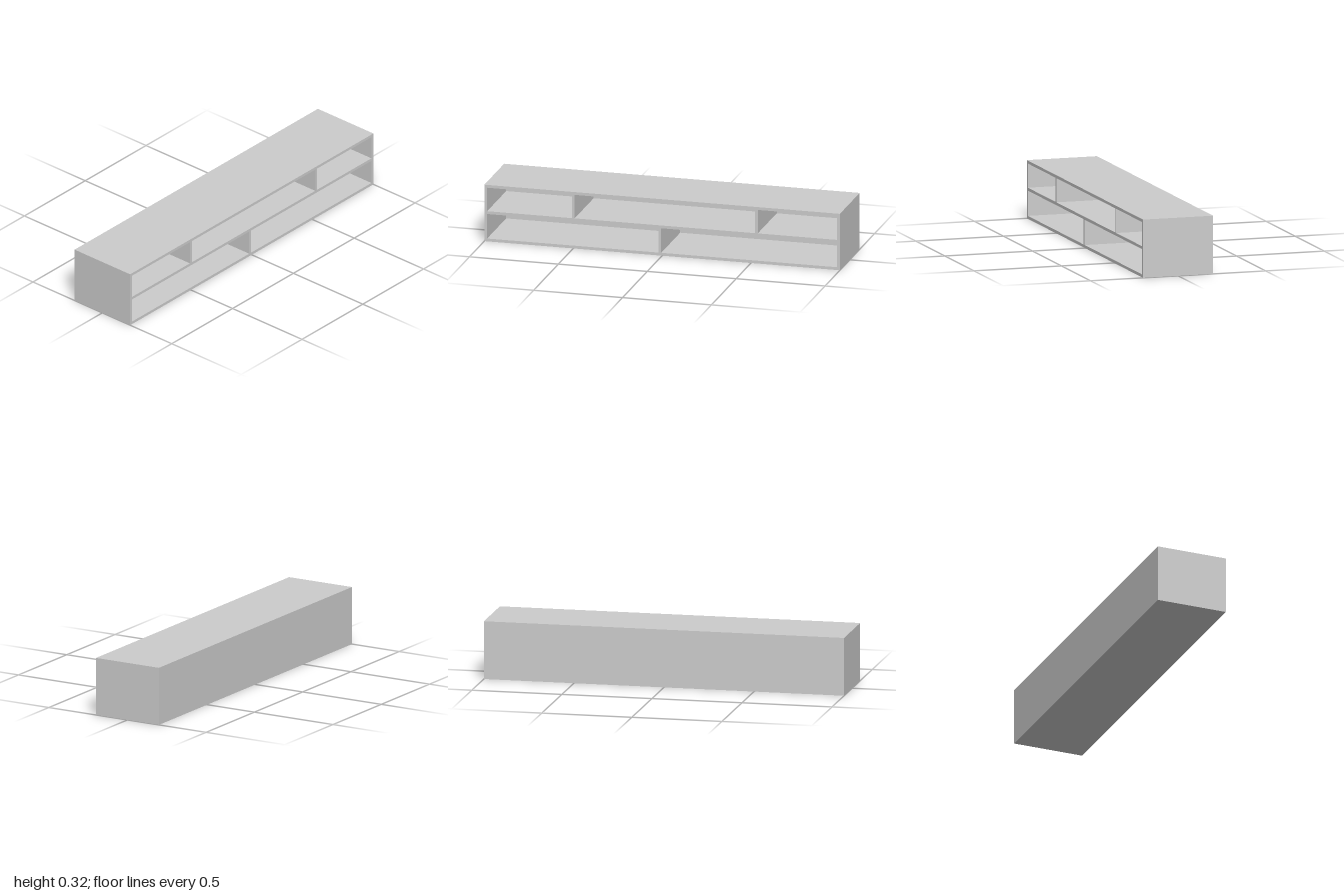
import * as THREE from 'three';

// Low open-fronted shelf unit: two tiers with staggered dividers
export function createModel() {
  const W = 2, H = 0.32, D = 0.4, T = 0.016;
  const model = new THREE.Group();
  model.name = 'shelfUnit';
  const material = new THREE.MeshStandardMaterial({ color: 0xcccccc });

  // Box panel given by its minimum and maximum corners
  const panel = (name, x0, x1, y0, y1, z0, z1) => {
    const mesh = new THREE.Mesh(new THREE.BoxGeometry(x1 - x0, y1 - y0, z1 - z0), material);
    mesh.position.set((x0 + x1) / 2, (y0 + y1) / 2, (z0 + z1) / 2);
    mesh.name = name;
    model.add(mesh);
  };

  const x = W / 2, z = D / 2, inX = x - T, back = -z + T;
  const shelfY = 0.155, shelfTop = shelfY + T;

  // Outer case
  panel('bottomPanel', -x, x, 0, T, -z, z);
  panel('topPanel', -x, x, H - T, H, -z, z);
  panel('rightSide', -x, -inX, T, H - T, -z, z);
  panel('leftSide', inX, x, T, H - T, -z, z);
  panel('backPanel', -inX, inX, T, H - T, -z, back);

  // Middle shelf
  panel('middleShelf', -inX, inX, shelfY, shelfTop, back, z);

  // Upright dividers: centre x, bottom y, top y
  const dividers = [
    ['upperRightDivider', -0.5, shelfTop, H - T],
    ['upperLeftDivider', 0.53, shelfTop, H - T],
    ['lowerDivider', -0.013, T, shelfY],
  ];
  for (const [name, cx, y0, y1] of dividers) {
    panel(name, cx - T / 2, cx + T / 2, y0, y1, back, z);
  }
  return model;
}
